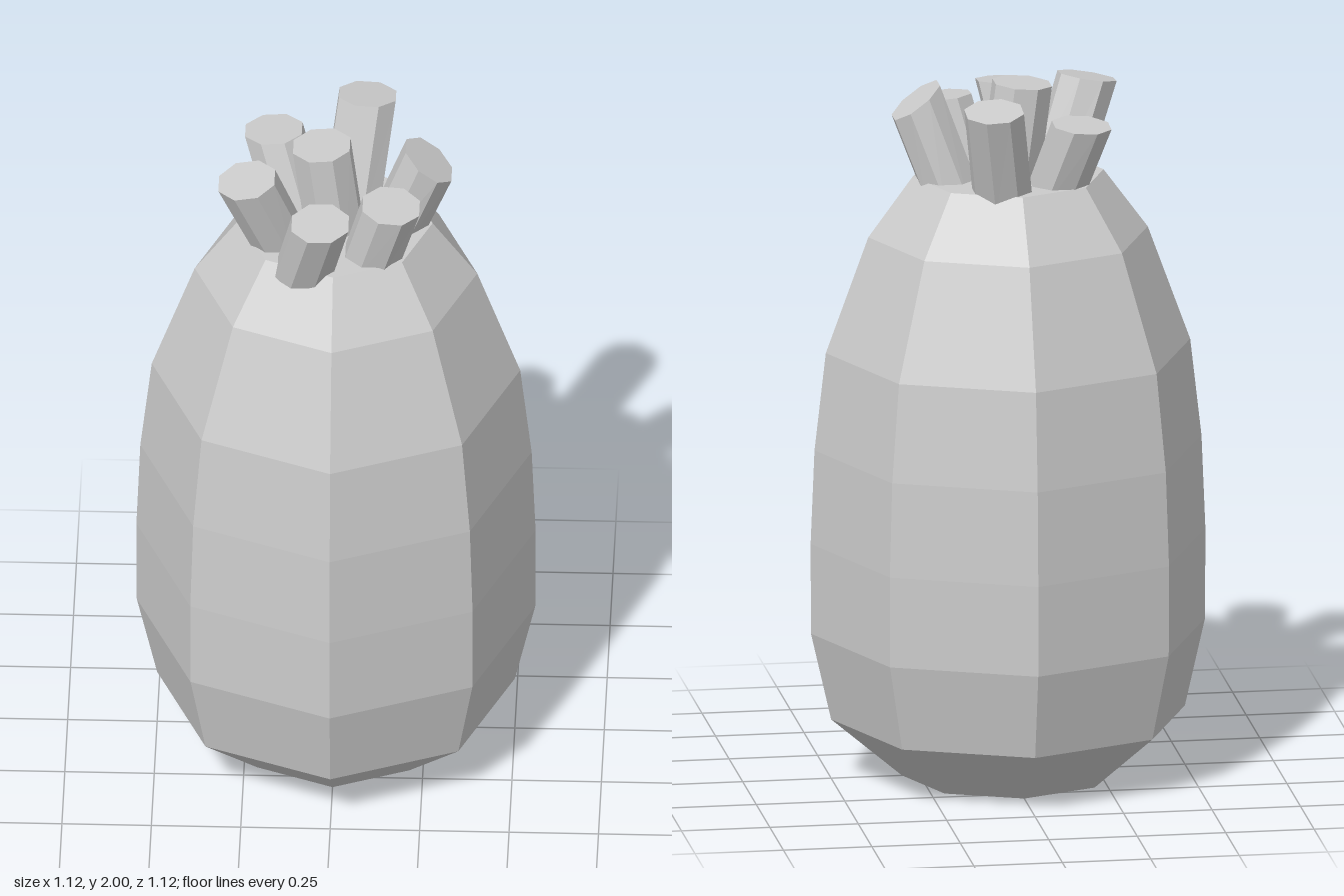
import * as THREE from 'three';

const material = new THREE.MeshStandardMaterial({ color: 0xcccccc, flatShading: true });

// Eight-sided stalk running from a base centre to a cap whose face slopes outward
function makeStalk(base, cap, slope, radius = 0.086) {
  const geometry = new THREE.CylinderGeometry(radius, radius, 1, 8, 1);
  geometry.rotateY(Math.PI / 8);
  const start = new THREE.Vector3(...base);
  const end = new THREE.Vector3(...cap);
  const out = new THREE.Vector3(cap[0], 0, cap[2]).normalize();
  const shrink = 1 / Math.hypot(1, slope) - 1;
  const position = geometry.attributes.position;
  const p = new THREE.Vector3();
  for (let i = 0; i < position.count; i++) {
    p.fromBufferAttribute(position, i);
    const top = p.y > 0;
    p.y = 0;
    if (top) {
      // tilt the cap ring about the line across its outward direction
      p.addScaledVector(out, p.dot(out) * shrink);
      p.y = -p.dot(out) * slope;
    }
    p.add(top ? end : start);
    position.setXYZ(i, p.x, p.y, p.z);
  }
  geometry.computeVertexNormals();
  return new THREE.Mesh(geometry, material);
}

export function createModel() {
  const model = new THREE.Group();
  model.name = 'stalkedPod';

  // Faceted barrel body, closed above and below
  const profile = [
    [0, 0], [0.3, 0], [0.5, 0.17], [0.557, 0.42], [0.558, 0.68],
    [0.547, 0.95], [0.515, 1.23], [0.395, 1.56], [0.27, 1.73], [0, 1.73],
  ].map(([r, y]) => new THREE.Vector2(r, y));
  const body = new THREE.Mesh(new THREE.LatheGeometry(profile, 8), material);
  body.name = 'body';
  model.add(body);

  // Crown of cut stalks: base centre, cap centre, cap slope
  const crown = new THREE.Group();
  crown.name = 'crown';
  const stalks = [
    [[0, 1.68, 0], [-0.04, 1.99, 0], 0.08],
    [[0.038, 1.68, -0.165], [0.08, 1.98, -0.265], 0.18],
    [[-0.11, 1.68, -0.11], [-0.18, 1.91, -0.185], 0.1],
    [[-0.145, 1.69, 0.065], [-0.245, 1.965, 0.14], 0.2],
    [[-0.085, 1.69, 0.19], [-0.035, 1.925, 0.285], 0.12],
    [[0.1, 1.69, 0.13], [0.16, 1.915, 0.18], 0.12],
    [[0.165, 1.69, -0.03], [0.26, 1.95, 0.005], 0.75],
  ];
  stalks.forEach(([base, cap, slope], i) => {
    const stalk = makeStalk(base, cap, slope);
    stalk.name = `stalk${i + 1}`;
    crown.add(stalk);
  });
  model.add(crown);
  return model;
}
